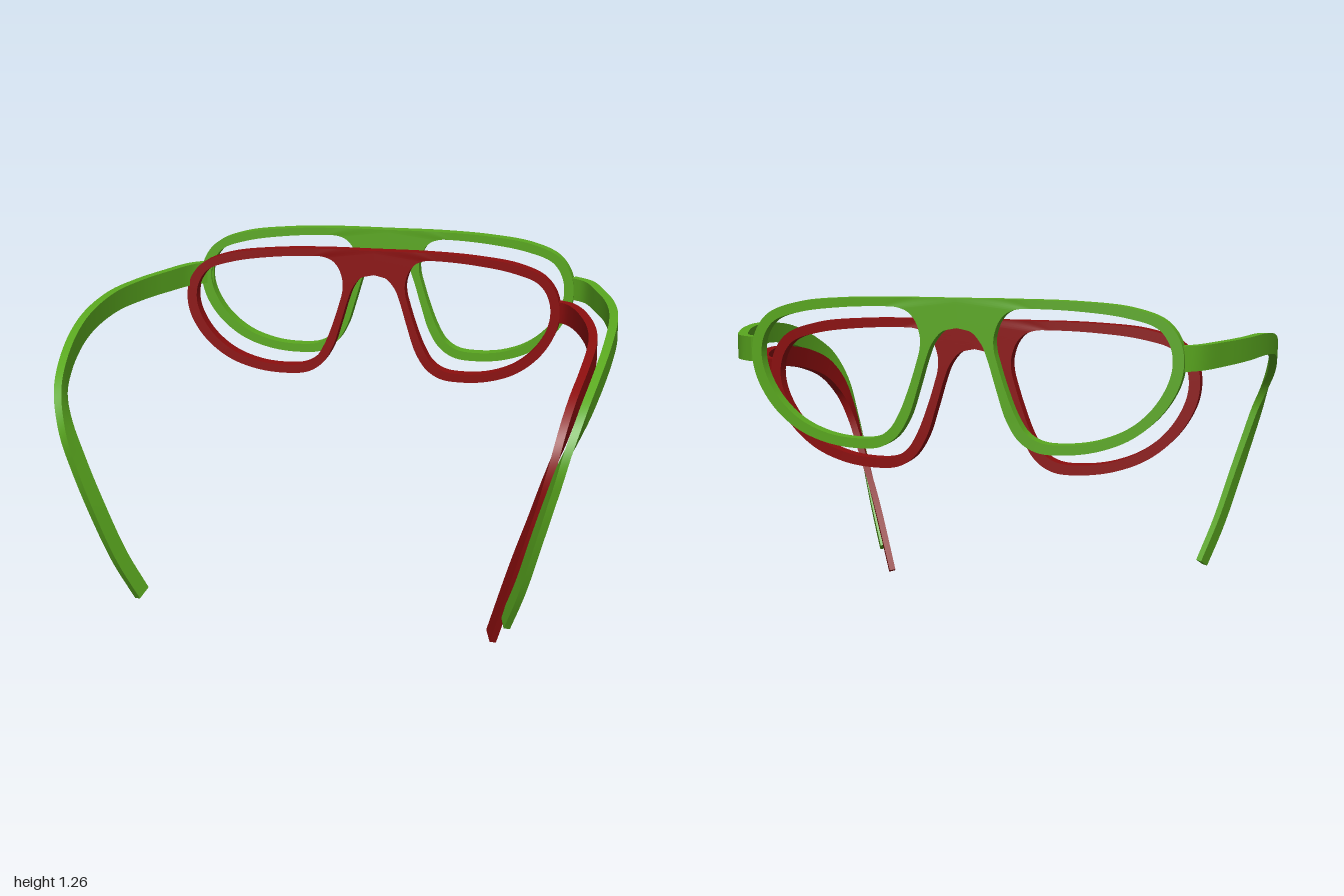
import * as THREE from 'three';
import { toCreasedNormals } from 'three/addons/utils/BufferGeometryUtils.js';

const green = new THREE.MeshStandardMaterial({ color: 0x5aa81f });
const red = new THREE.MeshStandardMaterial({ color: 0x8c0e0e });

// Rim outline from the top of the bridge, round the lens, to the nose arch
const outerRim = [
  [0, 0.531], [0.2, 0.531], [0.42, 0.525], [0.6, 0.505], [0.71, 0.463], [0.76, 0.4], [0.775, 0.325],
  [0.76, 0.24], [0.7, 0.14], [0.605, 0.06], [0.49, 0.015], [0.37, 0], [0.28, 0.008], [0.22, 0.045],
  [0.175, 0.115], [0.14, 0.22], [0.11, 0.32], [0.088, 0.375], [0.05, 0.418], [0, 0.43],
];
// Lens opening, paired point by point with the outline; the last two face the centre line
const innerRim = [
  [0.215, 0.498], [0.27, 0.5], [0.42, 0.493], [0.58, 0.472], [0.685, 0.437], [0.725, 0.385], [0.737, 0.32],
  [0.722, 0.25], [0.67, 0.163], [0.585, 0.09], [0.48, 0.048], [0.375, 0.035], [0.295, 0.042], [0.245, 0.072],
  [0.208, 0.13], [0.172, 0.22], [0.145, 0.305], [0.133, 0.35], [0.13, 0.385], [0.133, 0.41],
  [0.148, 0.452], [0.175, 0.483],
];

const toCurve = (points, closed) =>
  new THREE.CatmullRomCurve3(points.map(([x, y]) => new THREE.Vector3(x, y, 0)), closed);

// Half of the front: a four-cornered section carried round the lens and wrapped back at the side
function halfFrame(side) {
  const depth = 0.053;
  const perSpan = 8;
  const outer = toCurve(outerRim, false);
  const inner = toCurve(innerRim, true);
  const lastSpan = outerRim.length - 1;
  const count = innerRim.length * perSpan;
  const positions = [];
  const index = [];
  const put = (p, z) => {
    const k = Math.max(0, p.x - 0.2) / 0.575;
    positions.push(side * p.x, p.y, z + 0.075 * Math.pow(k, 1.3));
  };
  for (let i = 0; i < count; i++) {
    const s = i / perSpan;
    const centre = (s - lastSpan) / (innerRim.length - lastSpan);
    const o = s <= lastSpan
      ? outer.getPoint(s / lastSpan)
      : new THREE.Vector3(0, THREE.MathUtils.lerp(0.43, 0.531, centre), 0);
    const n = inner.getPoint(i / count);
    put(o, 0);
    put(o, depth);
    put(n, depth);
    put(n, 0);
    const j = (i + 1) % count;
    for (let k = 0; k < 4; k++) {
      const a = i * 4 + k;
      const b = i * 4 + (k + 1) % 4;
      const c = j * 4 + k;
      const d = j * 4 + (k + 1) % 4;
      if (side > 0) index.push(a, b, c, b, d, c);
      else index.push(a, c, b, b, c, d);
    }
  }
  const geo = new THREE.BufferGeometry();
  geo.setAttribute('position', new THREE.Float32BufferAttribute(positions, 3));
  geo.setIndex(index);
  return toCreasedNormals(geo, 0.6);
}

// Temple arm: a bar bent along a path, turning and tapering towards the ear tip
function armGeometry(path, side, startHeight, endHeight) {
  const curve = new THREE.CatmullRomCurve3(path.map(([x, y, z]) => new THREE.Vector3(side * x, y, z)));
  const geo = new THREE.BoxGeometry(1, 1, 1, 1, 1, 80);
  const p = geo.attributes.position;
  const v = new THREE.Vector3();
  for (let i = 0; i < p.count; i++) {
    v.fromBufferAttribute(p, i);
    const t = THREE.MathUtils.clamp(v.z + 0.5, 0, 1);
    const tangent = curve.getTangentAt(t);
    const lateral = new THREE.Vector3(1, 0, -side * 0.35 * THREE.MathUtils.smoothstep(t, 0.5, 0.9));
    lateral.addScaledVector(tangent, -tangent.dot(lateral)).normalize();
    const up = new THREE.Vector3().crossVectors(tangent, lateral);
    const height = THREE.MathUtils.lerp(startHeight, endHeight, t);
    const thickness = THREE.MathUtils.lerp(0.036, 0.024, t);
    const q = curve.getPointAt(t).addScaledVector(lateral, v.x * thickness).addScaledVector(up, v.y * height);
    p.setXYZ(i, q.x, q.y, q.z);
  }
  return toCreasedNormals(geo, 0.6);
}

const greenPath = [
  [0.755, 1.055, -0.672], [0.82, 1.055, -0.615], [0.885, 1.055, -0.45], [0.94, 1.055, -0.26],
  [0.975, 1.052, -0.03], [0.981, 1.02, 0.27], [0.96, 0.948, 0.515], [0.93, 0.868, 0.66],
  [0.89, 0.76, 0.724], [0.85, 0.63, 0.722], [0.805, 0.48, 0.698], [0.74, 0.26, 0.637], [0.68, 0.095, 0.57],
];
const redPath = [
  [0.7, 0.972, -0.6], [0.745, 0.972, -0.575], [0.79, 0.972, -0.5], [0.85, 0.971, -0.32],
  [0.89, 0.967, -0.13], [0.905, 0.957, 0.03], [0.9, 0.92, 0.27], [0.88, 0.86, 0.45],
  [0.855, 0.77, 0.56], [0.825, 0.667, 0.594], [0.775, 0.5, 0.588], [0.71, 0.3, 0.563], [0.62, 0.01, 0.503],
];

export function createModel() {
  const model = new THREE.Group();

  // A pair of glasses: mirrored front halves and the arms on the given sides
  const addGlasses = (name, material, position, arms) => {
    const glasses = new THREE.Group();
    glasses.name = name;
    const front = new THREE.Group();
    front.name = 'frontFrame';
    front.position.set(...position);
    for (const side of [1, -1]) {
      const half = new THREE.Mesh(halfFrame(side), material);
      half.name = side > 0 ? 'leftRim' : 'rightRim';
      front.add(half);
    }
    glasses.add(front);
    for (const { side, path, heights } of arms) {
      const arm = new THREE.Mesh(armGeometry(path, side, ...heights), material);
      arm.name = side > 0 ? 'leftArm' : 'rightArm';
      glasses.add(arm);
    }
    model.add(glasses);
  };

  // Complete green pair
  addGlasses('greenGlasses', green, [-0.013, 0.722, -0.765],
    [1, -1].map((side) => ({ side, path: greenPath, heights: [0.088, 0.06] })));

  // Red pair with only its left arm
  addGlasses('redGlasses', red, [-0.059, 0.645, -0.7],
    [{ side: 1, path: redPath, heights: [0.084, 0.07] }]);

  return model;
}
